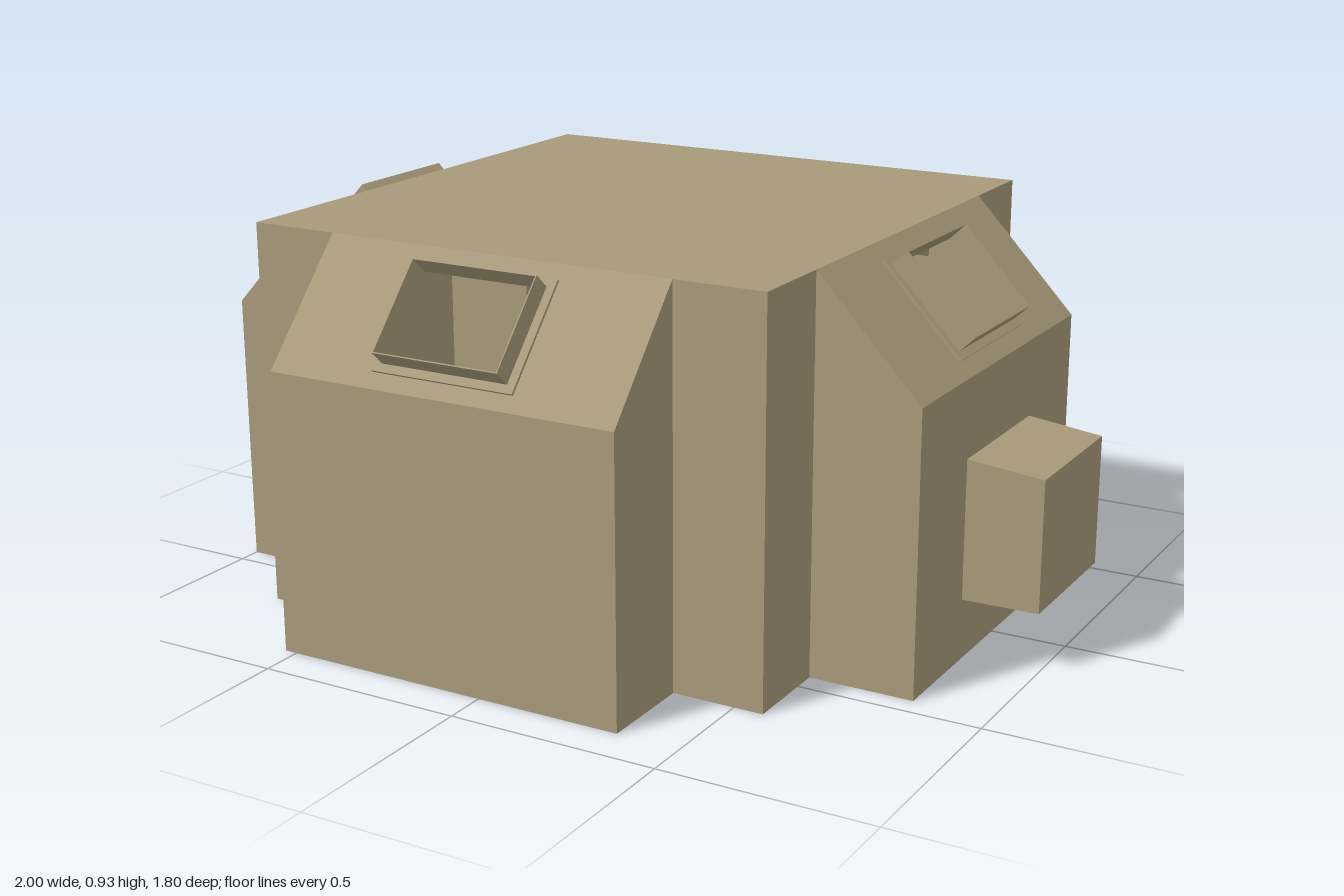
import * as THREE from 'three';

const ROOF = 0.925, EAVE = 0.66;
const sand = new THREE.MeshStandardMaterial({ color: 0xa89a7a, side: THREE.DoubleSide });
sand.name = 'sand';

const V = (x, y, z) => new THREE.Vector3(x, y, z);
const polygon = (points) => new THREE.Shape(points.map(([x, y]) => new THREE.Vector2(x, y)));
const rect = (x0, y0, x1, y1) => polygon([[x0, y0], [x1, y0], [x1, y1], [x0, y1]]);

// Adds a geometry drawn in (u, v), placed at an origin along the axes u and v
function place(parent, name, geometry, origin, u, v) {
  const basis = new THREE.Matrix4().makeBasis(u, v, u.clone().cross(v)).setPosition(origin);
  const mesh = new THREE.Mesh(geometry.applyMatrix4(basis), sand);
  mesh.name = name;
  parent.add(mesh);
}
const panel = (parent, name, shape, origin, u, v) =>
  place(parent, name, new THREE.ShapeGeometry(shape, 8), origin, u, v);

// Rectangular ring with a given border and depth
function ring(x0, y0, x1, y1, border, depth) {
  const shape = rect(x0, y0, x1, y1);
  shape.holes.push(rect(x0 + border, y0 + border, x1 - border, y1 - border));
  return new THREE.ExtrudeGeometry(shape, { depth, bevelEnabled: false });
}

// Projecting bay facing local +z: wall, two cheeks and a sloped top with a window
function bay({ name, angle, x0, x1, inner, outer, foot = outer, win, span, notch }) {
  const group = new THREE.Group();
  group.name = name;
  group.rotation.y = angle;
  const X = V(1, 0, 0), Y = V(0, 1, 0), Z = V(0, 0, 1);

  panel(group, 'bayWall', rect(x0, 0, x1, EAVE), V(0, 0, outer), X, Y);

  // Cheeks, the first one optionally with a small arched opening at the ground
  for (const x of [x0, x1]) {
    const cheek = new THREE.Shape();
    cheek.moveTo(inner, 0);
    if (notch && x === x0) {
      const [a, b, h] = notch, r = (b - a) / 2;
      cheek.lineTo(a, 0);
      cheek.lineTo(a, h - r);
      cheek.absarc(a + r, h - r, r, Math.PI, 0, true);
      cheek.lineTo(b, 0);
    }
    cheek.lineTo(outer, 0);
    cheek.lineTo(outer, EAVE);
    if (foot !== outer) cheek.lineTo(foot, EAVE);
    cheek.lineTo(inner, ROOF);
    panel(group, 'bayCheek', cheek, V(x, 0, 0), Z, Y);
  }

  // Sloped top with its window hole
  const up = V(0, ROOF - EAVE, inner - foot);
  const length = up.length();
  up.normalize();
  const origin = V(0, EAVE, foot);
  const [w0, w1] = win, v0 = span[0] * length, v1 = span[1] * length;
  const slope = rect(x0, 0, x1, length);
  slope.holes.push(rect(w0, v0, w1, v1));
  panel(group, 'slopedTop', slope, origin, X, up);

  // Projecting window surround and the thin rim around it
  place(group, 'windowSurround', ring(w0, v0, w1, v1, 0.003, 0.055), origin, X, up);
  place(group, 'windowRim', ring(w0 - 0.02, v0 - 0.02, w1 + 0.02, v1 + 0.02, 0.02, 0.006), origin, X, up);
  return group;
}

export function createModel() {
  const model = new THREE.Group();
  model.name = 'shelter';
  const L = -0.75, R = 0.57, B = -0.655, F = 0.665;

  // Flat roof
  panel(model, 'roof', rect(L, -F, R, -B), V(0, ROOF, 0), V(1, 0, 0), V(0, 0, -1));

  // Corner walls between the bays
  const X = V(1, 0, 0), Y = V(0, 1, 0), Z = V(0, 0, 1);
  for (const z of [B, F])
    for (const [a, b] of [[L, -0.53], [0.35, R]])
      panel(model, 'cornerWall', rect(a, 0, b, ROOF), V(0, 0, z), X, Y);
  for (const x of [L, R])
    for (const [a, b] of [[B, -0.435], [0.445, F]])
      panel(model, 'cornerWall', rect(a, 0, b, ROOF), V(x, 0, 0), Z, Y);

  // Four bays; the rear wall stands clear of its slope
  model.add(
    bay({ name: 'frontBay', angle: 0, x0: -0.53, x1: 0.35, inner: F, outer: 0.9,
      win: [-0.25, 0.07], span: [0.17, 0.83] }),
    bay({ name: 'backBay', angle: Math.PI, x0: -0.35, x1: 0.53, inner: -B, outer: 0.9, foot: 0.83,
      win: [-0.07, 0.25], span: [0.19, 0.79] }),
    bay({ name: 'leftBay', angle: Math.PI / 2, x0: -0.445, x1: 0.435, inner: R, outer: 0.82,
      win: [-0.165, 0.16], span: [0.17, 0.83] }),
    bay({ name: 'rightBay', angle: -Math.PI / 2, x0: -0.435, x1: 0.445, inner: -L, outer: 1,
      win: [-0.16, 0.165], span: [0.17, 0.83], notch: [0.845, 0.915, 0.065] }),
  );

  // Wall box, narrowing slightly toward its outer face
  const box = new THREE.BoxGeometry(0.18, 0.33, 0.37).translate(0.91, 0.31, 0.005);
  const p = box.attributes.position;
  for (let i = 0; i < p.count; i++) {
    if (p.getX(i) < 0.95) continue;
    if (p.getY(i) > 0.3) p.setY(i, 0.455);
    p.setZ(i, 0.005 + (p.getZ(i) - 0.005) * 0.975);
  }
  box.computeVertexNormals();
  const wallBox = new THREE.Mesh(box, sand);
  wallBox.name = 'wallBox';
  model.add(wallBox);
  return model;
}
